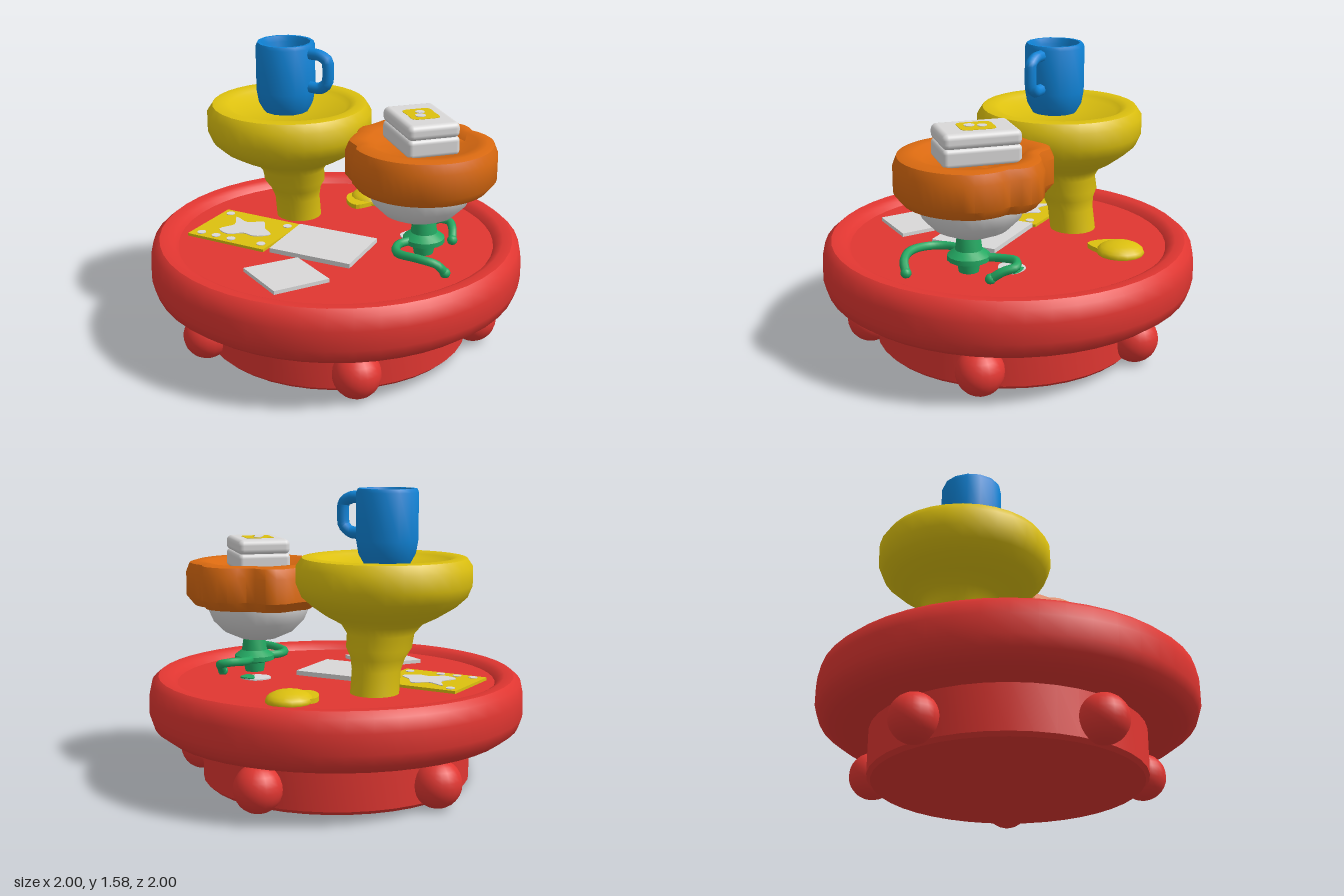
import * as THREE from 'three';
import { toCreasedNormals } from 'three/addons/utils/BufferGeometryUtils.js';
import { RoundedBoxGeometry } from 'three/addons/geometries/RoundedBoxGeometry.js';

const mat = (name, color) => new THREE.MeshStandardMaterial({ name, color });
const V = (x, y, z) => new THREE.Vector3(x, y, z);

export function createModel() {
  const model = new THREE.Group();
  model.name = 'servingTable';
  const red = mat('red', 0xe03631), yellow = mat('yellow', 0xdcc00f), orange = mat('orange', 0xd96910);
  const blue = mat('blue', 0x0f84d8), white = mat('white', 0xd9d8d8), green = mat('green', 0x23a862);

  const add = (name, geo, material, parent = model) => {
    const m = new THREE.Mesh(geo, material);
    m.name = name;
    parent.add(m);
    return m;
  };
  // Turned part from [radius, height] pairs; an optional rule moves each vertex
  const lathe = (pts, seg, rule) => {
    const g = new THREE.LatheGeometry(pts.map(p => new THREE.Vector2(...p)), seg);
    const p = g.attributes.position, v = V(0, 0, 0);
    if (rule) for (let i = 0; i < p.count; i++) {
      rule(v.fromBufferAttribute(p, i));
      p.setXYZ(i, v.x, v.y, v.z);
    }
    return toCreasedNormals(g, 0.7);
  };
  // Flat sheet from an [x, z] outline
  const sheet = (pts, y, t) => new THREE.ExtrudeGeometry(
    new THREE.Shape(pts.map(([x, z]) => new THREE.Vector2(x, -z))), { depth: t, bevelEnabled: false }
  ).rotateX(-Math.PI / 2).translate(0, y, 0);
  // Rounded blot through [x, z] points
  const blot = (pts, y, t) => sheet(
    new THREE.CatmullRomCurve3(pts.map(([x, z]) => V(x, 0, z)), true)
      .getPoints(pts.length * 4).slice(0, -1).map(p => [p.x, p.z]), y, t);
  const dot = (x, z, r, y, t) => new THREE.CylinderGeometry(r, r, t, 12).translate(x, y + t / 2, z);

  // Tray and pedestal with five ball feet
  const floor = 0.56;
  add('tray', lathe([[0, 0.28], [0.84, 0.28], [0.92, 0.295], [0.98, 0.34], [1, 0.4], [1, 0.5], [0.985, 0.57],
    [0.95, 0.6], [0.9, 0.6], [0.87, 0.585], [0.85, floor], [0, floor]], 48), red);
  add('pedestal', lathe([[0, 0.02], [0.7, 0.02], [0.72, 0.04], [0.72, 0.3]], 40), red);
  for (let i = 0; i < 5; i++) {
    const a = i * Math.PI * 0.4;
    add('ballFoot', new THREE.SphereGeometry(0.125, 20, 14), red)
      .position.set(0.76 * Math.cos(a), 0.14, 0.755 * Math.sin(a));
  }

  // Tall yellow stand, its column leaning into the dish
  add('yellowStand', lathe([[0, 0.55], [0.125, 0.55], [0.125, 0.68], [0.14, 0.74], [0.168, 0.79], [0.172, 0.86],
    [0.21, 0.91], [0.29, 0.95], [0.37, 1], [0.425, 1.05], [0.45, 1.11], [0.45, 1.2], [0.42, 1.245],
    [0.37, 1.25], [0.335, 1.235], [0.31, 1.215], [0, 1.21]], 32, v => {
    const k = THREE.MathUtils.clamp((v.y - 0.6) / 0.4, 0, 1);
    v.x += -0.27 - 0.03 * k;
    v.z += -0.32 + 0.09 * k;
  }), yellow);

  // Mug
  const mug = new THREE.Group();
  mug.name = 'mug';
  mug.position.set(-0.31, 0, -0.2);
  mug.rotation.y = -0.35;
  model.add(mug);
  add('mugCup', lathe([[0, 1.2], [0.12, 1.21], [0.148, 1.26], [0.16, 1.33], [0.16, 1.57], [0.152, 1.59],
    [0.135, 1.59], [0.125, 1.56], [0.12, 1.3], [0, 1.28]], 14), blue, mug);
  const grip = new THREE.CatmullRomCurve3([V(0.13, 1.54, 0), V(0.21, 1.54, 0), V(0.262, 1.51, 0),
    V(0.262, 1.4, 0), V(0.215, 1.36, 0), V(0.13, 1.36, 0)], false, 'catmullrom', 0.3);
  add('mugHandle', new THREE.TubeGeometry(grip, 24, 0.032, 8), blue, mug);

  // Orange dish with a scalloped back edge: [angle in degrees, radius factor]
  const lobes = [[-180, 1.02], [-165, 1.0], [-152, 1.1], [-140, 1.05], [-128, 1.13], [-115, 1.15], [-102, 0.9],
    [-90, 0.96], [-78, 1.02], [-57, 1.02], [-46, 0.9], [-34, 0.95], [-15, 1], [150, 1], [160, 0.93], [170, 1.04], [180, 1.02]];
  const lobeAt = deg => {
    const i = Math.max(1, lobes.findIndex(l => l[0] >= deg));
    const [a, b] = [lobes[i - 1], lobes[i]];
    return THREE.MathUtils.lerp(a[1], b[1], (deg - a[0]) / (b[0] - a[0]));
  };
  add('orangeDish', lathe([[0, 0.94], [0.28, 0.93], [0.345, 0.94], [0.385, 0.99], [0.385, 1.12], [0.365, 1.17],
    [0.33, 1.18], [0.28, 1.175], [0.24, 1.145], [0, 1.14]], 48, v => {
    const w = THREE.MathUtils.smoothstep(Math.hypot(v.x, v.z), 0.2, 0.36);
    const s = 1 + w * (lobeAt(THREE.MathUtils.radToDeg(Math.atan2(v.z, v.x))) - 1);
    v.x *= s;
    v.z *= s;
  }), orange).position.set(0.47, 0, 0.1);
  add('whiteBowl', lathe([[0, 0.74], [0.1, 0.75], [0.19, 0.79], [0.25, 0.85], [0.28, 0.92], [0.28, 1], [0, 1]], 28), white)
    .position.set(0.46, 0, 0.1);

  // Green foot with two curling legs
  add('greenHub', lathe([[0, 0.55], [0.05, 0.55], [0.06, 0.61], [0.11, 0.625], [0.11, 0.65], [0.07, 0.68],
    [0.06, 0.75], [0, 0.76]], 16), green).position.set(0.49, 0, 0.11);
  const legs = [
    [V(0.49, 0.64, 0.11), V(0.37, 0.64, 0.22), V(0.38, 0.64, 0.33), V(0.5, 0.65, 0.41), V(0.59, 0.63, 0.42), V(0.63, 0.58, 0.4)],
    [V(0.49, 0.64, 0.11), V(0.49, 0.64, -0.04), V(0.54, 0.65, -0.14), V(0.6, 0.64, -0.15), V(0.625, 0.62, -0.09), V(0.63, 0.58, -0.03)]];
  for (const pts of legs) {
    add('greenLeg', new THREE.TubeGeometry(new THREE.CatmullRomCurve3(pts), 28, 0.023, 8), green);
    add('greenLegTip', new THREE.SphereGeometry(0.028, 10, 8), green).position.copy(pts[5]);
  }

  // Wrapped packet: two padded layers and a label
  const packet = new THREE.Group();
  packet.name = 'packet';
  packet.position.set(0.455, 0, 0.075);
  packet.rotation.y = 0.48;
  model.add(packet);
  add('packetLower', new RoundedBoxGeometry(0.28, 0.1, 0.4, 3, 0.025), white, packet).position.y = 1.185;
  add('packetUpper', new RoundedBoxGeometry(0.28, 0.08, 0.4, 3, 0.03), white, packet).position.y = 1.268;
  add('packetLabel', blot([[-0.07, -0.08], [0, -0.09], [0.07, -0.08], [0.075, 0], [0.07, 0.08], [0, 0.09],
    [-0.07, 0.08], [-0.075, 0]], 1.305, 0.005), yellow, packet);
  add('labelSpot', dot(0.005, -0.03, 0.025, 1.308, 0.005), white, packet);
  add('labelSpot', dot(-0.015, 0.03, 0.028, 1.308, 0.005), white, packet);

  // Yellow card with pale blotch and dots
  const card = new THREE.Group();
  card.name = 'card';
  card.position.set(-0.51, floor, 0);
  card.rotation.y = -0.317;
  model.add(card);
  add('cardSheet', sheet([[-0.24, -0.2], [0.24, -0.2], [0.24, 0.2], [-0.24, 0.2]], -0.005, 0.02), yellow, card);
  add('cardBlotch', blot([[-0.13, -0.12], [-0.03, -0.08], [0.04, -0.13], [0.1, -0.05], [0.17, 0.01], [0.1, 0.07],
    [0.03, 0.06], [-0.04, 0.11], [-0.12, 0.07], [-0.08, -0.02]], 0.014, 0.005), white, card);
  for (const [x, z] of [[-0.18, 0.155], [-0.086, 0.155], [0.01, 0.155], [-0.19, -0.15], [0.19, -0.14], [0.19, 0.14]])
    add('cardDot', dot(x, z, 0.024, 0.014, 0.005), white, card);

  // Loose white sheets and spills on the tray
  add('largeSheet', sheet([[-0.31, 0.26], [-0.22, -0.1], [0.23, 0.03], [0.14, 0.39]], floor - 0.005, 0.03), white);
  add('smallSheet', sheet([[-0.385, 0.52], [-0.14, 0.34], [0.07, 0.57], [-0.17, 0.76]], floor - 0.005, 0.025), white);
  const spill = new THREE.SphereGeometry(0.12, 16, 10);
  add('yellowSpill', spill, yellow).position.set(0.1, floor + 0.01, -0.62);
  model.getObjectByName('yellowSpill').scale.set(1, 0.45, 1.05);
  add('yellowSpillTail', blot([[-0.03, -0.62], [0.1, -0.7], [0.21, -0.6], [0.12, -0.5], [0.04, -0.44], [-0.02, -0.5]],
    floor - 0.005, 0.03), yellow);
  add('whiteSpill', blot([[0.34, -0.1], [0.41, -0.17], [0.5, -0.12], [0.46, -0.04], [0.38, -0.03]], floor - 0.005, 0.012), white);
  add('greenSpill', blot([[0.42, -0.16], [0.5, -0.13], [0.48, -0.06], [0.44, -0.08]], floor + 0.004, 0.008), green);
  return model;
}
